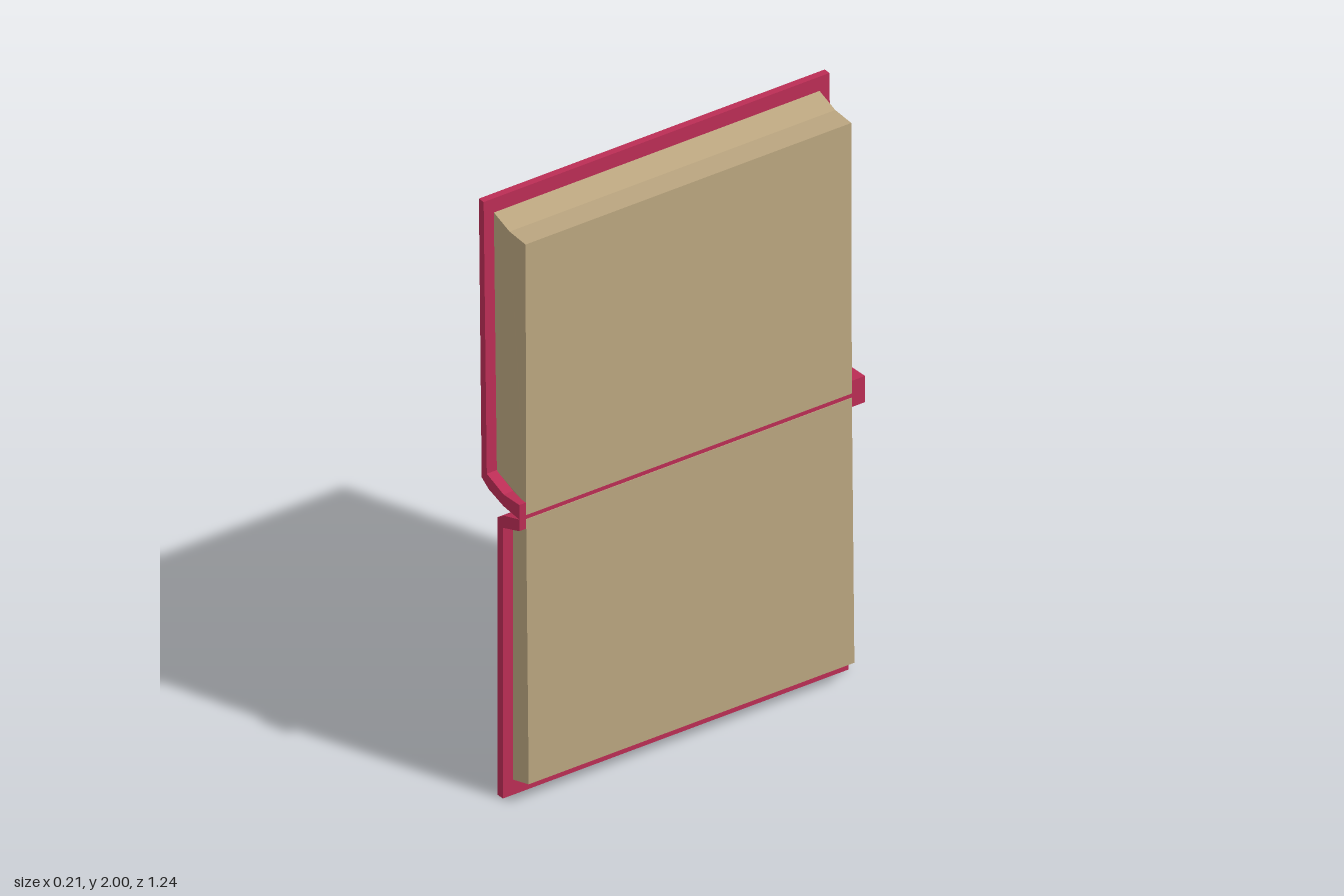
import * as THREE from 'three';

const coverMaterial = new THREE.MeshStandardMaterial({ color: 0xbb2d55 });
const paperMaterial = new THREE.MeshStandardMaterial({ color: 0xbaa57f });

// Extrude an x-y outline along z, centred on z = 0
function slab(name, outline, depth, material) {
  const shape = new THREE.Shape(outline.map(([x, y]) => new THREE.Vector2(x, y)));
  const geometry = new THREE.ExtrudeGeometry(shape, { depth, bevelEnabled: false });
  geometry.translate(0, 0, -depth / 2);
  const mesh = new THREE.Mesh(geometry, material);
  mesh.name = name;
  return mesh;
}

// Page block: its ends shift a little towards +z near the open face and the fold
function pages(name, outline) {
  const mesh = slab(name, outline, 1.168, paperMaterial);
  const p = mesh.geometry.attributes.position;
  for (let i = 0; i < p.count; i++) {
    const open = THREE.MathUtils.clamp((p.getX(i) - 0.03) / 0.055, 0, 1);
    const nearFold = 1 - Math.abs(p.getY(i) - 1);
    p.setZ(i, p.getZ(i) + open * (0.003 + 0.01 * nearFold));
  }
  mesh.geometry.computeVertexNormals();
  return mesh;
}

export function createModel() {
  const book = new THREE.Group();
  book.name = 'openBook';

  // Each cover board is one piece with its half of the spine
  book.add(slab('lowerCover', [
    [-0.01, 0], [0.017, 0], [0.017, 0.93], [0.1, 0.96],
    [0.1, 1.0], [0.025, 0.975], [-0.01, 0.953],
  ], 1.24, coverMaterial));
  book.add(slab('upperCover', [
    [-0.104, 2], [-0.09, 1.05], [-0.055, 1.027], [0.02, 1.006], [0.1, 1.0],
    [0.1, 1.05], [0.02, 1.046], [-0.064, 1.075], [-0.08, 2],
  ], 1.24, coverMaterial));

  // Page blocks, with a thin lip covering the spine at the fold
  book.add(pages('lowerPages', [
    [0.016, 0.052], [0.102, 0.08], [0.102, 0.993],
    [0.095, 0.993], [0.092, 0.955], [0.016, 0.928],
  ]));
  book.add(pages('upperPages', [
    [-0.08, 1.952], [-0.066, 1.073], [0.02, 1.044], [0.092, 1.046],
    [0.095, 1.008], [0.102, 1.008], [0.086, 1.926], [0, 1.926],
  ]));
  return book;
}
